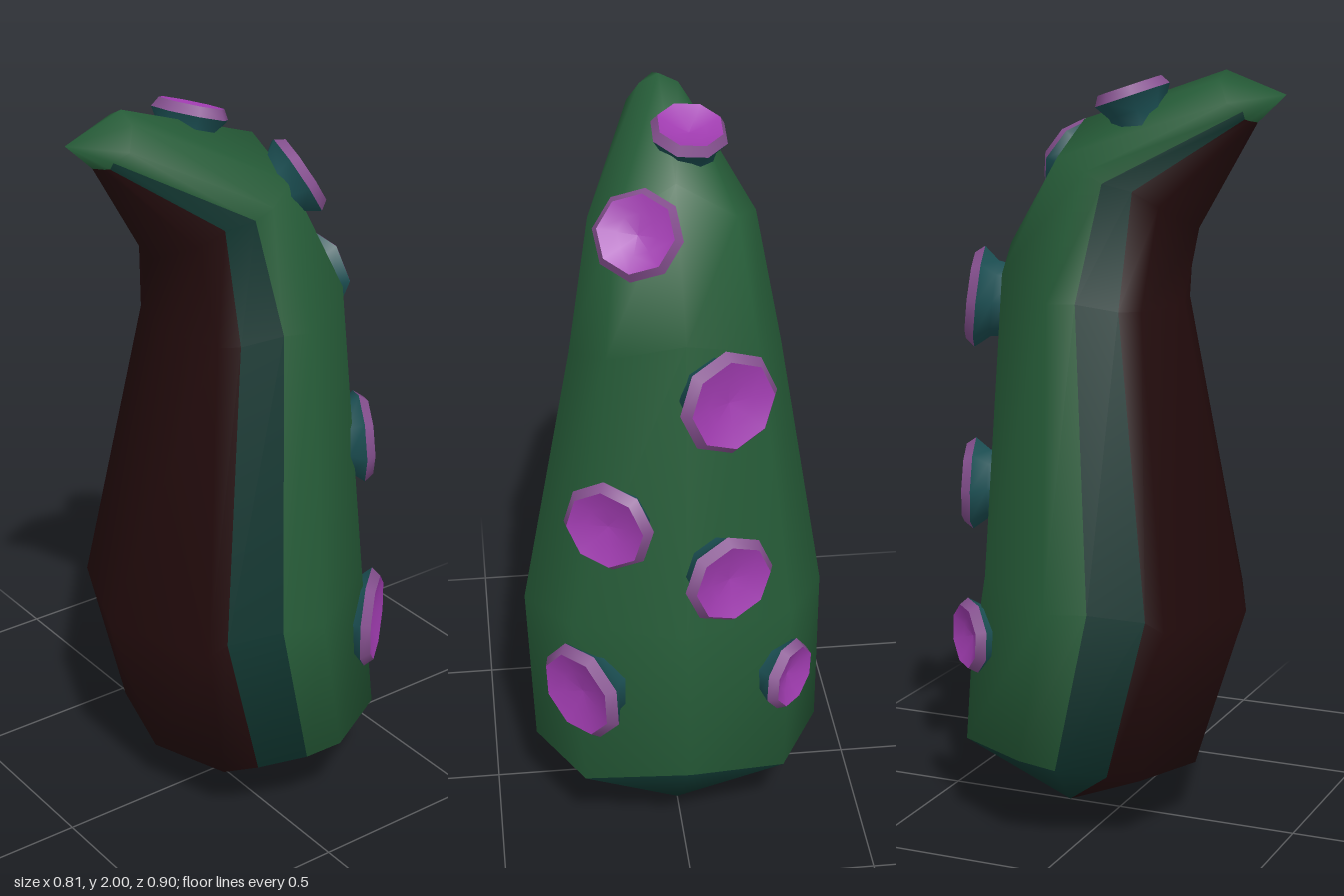
import * as THREE from 'three';

const mat = (name, color, side = THREE.FrontSide) => {
  const m = new THREE.MeshStandardMaterial({ color, side });
  m.name = name;
  return m;
};

// Half cross-sections from the belly centre round the +x side to the spine: [x, y, z]
const RINGS = [
  [[0, .16, .22], [.24, .18, .16], [.3, .2, .09], [.36, .22, -.03], [.39, .245, -.12], [.27, .24, -.33], [0, .33, -.455]],
  [[0, .6, .36], [.29, .6, .245], [.31, .63, .2], [.37, .65, .065], [.405, .65, -.04], [.29, .7, -.26], [0, .7, -.36]],
  [[0, 1.4, .18], [.17, 1.4, .13], [.2, 1.4, .08], [.245, 1.42, -.02], [.27, 1.42, -.09], [.19, 1.48, -.25], [0, 1.54, -.315]],
  [[0, 1.6, .22], [.13, 1.66, .16], [.16, 1.7, .1], [.19, 1.72, .03], [.21, 1.75, -.01], [.15, 1.78, -.11], [0, 1.87, -.1]],
  [[0, 1.87, .375], [.035, 1.875, .365], [.055, 1.88, .36], [.07, 1.9, .36], [.08, 1.92, .32], [.05, 1.975, .29], [0, 2, .29]],
];
const BOTTOM = [0, 0, -.15], TIP = [0, 1.94, .45];
const COLS = 12;

// Body skin: mirrored rings joined in strips, grouped by colour, with shared smooth normals
function makeBody(materials) {
  const pos = [...BOTTOM];
  for (const half of RINGS)
    for (let i = 0; i < COLS; i++) {
      const [x, y, z] = half[i <= 6 ? i : COLS - i];
      pos.push(i <= 6 ? x : -x, y, z);
    }
  pos.push(...TIP);
  const last = RINGS.length * COLS + 1;
  const at = (r, i) => 1 + r * COLS + (i % COLS);
  const faces = [[], [], []]; // belly, band, back
  const kind = (i) => [0, 0, 1, 2, 2, 2][Math.min(i, COLS - 1 - i)];
  for (let i = 0; i < COLS; i++) {
    faces[Math.min(kind(i), 1)].push(0, at(0, i + 1), at(0, i));
    for (let r = 0; r < RINGS.length - 1; r++) {
      const a = at(r, i), b = at(r, i + 1), c = at(r + 1, i + 1), d = at(r + 1, i);
      faces[kind(i)].push(a, b, c, a, c, d);
    }
    faces[2].push(at(RINGS.length - 1, i), at(RINGS.length - 1, i + 1), last);
  }
  const geo = new THREE.BufferGeometry();
  geo.setAttribute('position', new THREE.Float32BufferAttribute(pos, 3));
  geo.setIndex(faces.flat());
  let start = 0;
  faces.forEach((f, k) => { geo.addGroup(start, f.length, k); start += f.length; });
  geo.computeVertexNormals();
  const body = new THREE.Mesh(geo, materials);
  body.name = 'body';
  return body;
}

// Sucker positions, outward directions and radii
const SUCKERS = [
  { p: [-.05, 1.935, .055], n: [-.08, .94, -.3], r: .1 },
  { p: [.1, 1.77, -.165], n: [.3, .52, -.8], r: .115 },
  { p: [-.1, 1.405, -.36], n: [-.37, .12, -.93], r: .135 },
  { p: [.195, 1.04, -.315], n: [.48, .05, -.87], r: .125 },
  { p: [-.105, .9, -.38], n: [-.35, .04, -.93], r: .125 },
  { p: [.27, .52, -.305], n: [.75, 0, -.66], r: .138 },
  { p: [-.275, .53, -.305], n: [-.75, 0, -.66], r: .1 },
];

// Each profile is [radius factor, height]
const SUCKER_PARTS = {
  suckerBase: [[.7, -.08], [.75, -.04], [1, 0]],
  suckerRim: [[1, 0], [.85, .025]],
  suckerCup: [[.85, .025], [.45, .008], [0, 0]],
};

export function createModel() {
  const model = new THREE.Group();
  model.name = 'tentacle';
  const belly = mat('dark maroon', 0x230b0c);
  const band = mat('dark teal', 0x0f352f);
  const back = mat('green', 0x265c38);
  model.add(makeBody([belly, band, back]));

  const suckerMats = {
    suckerBase: mat('teal', 0x1c5054),
    suckerRim: mat('mauve', 0x85508f),
    suckerCup: mat('purple', 0xa03cb0),
  };
  const up = new THREE.Vector3(0, 1, 0);
  for (const { p, n, r } of SUCKERS) {
    const sucker = new THREE.Group();
    sucker.name = 'sucker';
    for (const [name, profile] of Object.entries(SUCKER_PARTS)) {
      const pts = profile.map(([f, h]) => new THREE.Vector2(f * r, h));
      const part = new THREE.Mesh(new THREE.LatheGeometry(pts, 8, Math.PI / 8), suckerMats[name]);
      part.name = name;
      sucker.add(part);
    }
    sucker.position.set(...p);
    sucker.quaternion.setFromUnitVectors(up, new THREE.Vector3(...n).normalize());
    model.add(sucker);
  }
  return model;
}
